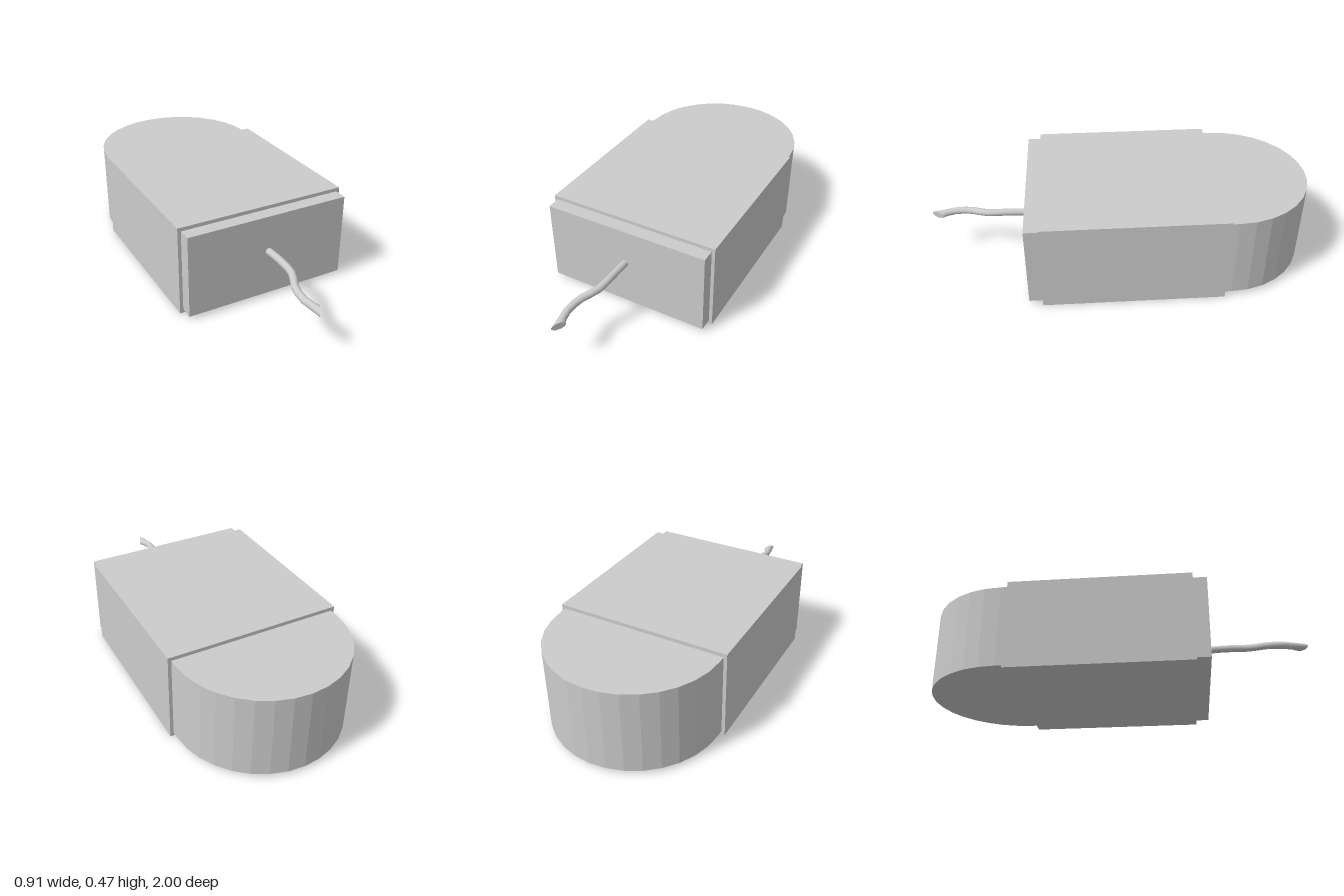
import * as THREE from 'three';

const material = new THREE.MeshStandardMaterial({ color: 0xcccccc });

function addMesh(group, name, geometry) {
  const mesh = new THREE.Mesh(geometry, material);
  mesh.name = name;
  group.add(mesh);
  return mesh;
}

export function createModel() {
  const group = new THREE.Group();
  group.name = 'roundedCasing';

  // Inner body: flat at the front, half-round at the back
  const r = 0.4375;
  const outline = new THREE.Shape();
  outline.moveTo(-r, -0.48);
  outline.lineTo(r, -0.48);
  outline.lineTo(r, 1 - r);
  outline.absarc(0, 1 - r, r, 0, Math.PI, false);
  outline.closePath();
  const bodyGeometry = new THREE.ExtrudeGeometry(outline, {
    depth: 0.437, bevelEnabled: false, curveSegments: 8,
  });
  bodyGeometry.rotateX(-Math.PI / 2).translate(0, 0.019, 0);
  addMesh(group, 'body', bodyGeometry);

  // Sleeve wrapped around the straight part of the body
  const sleeve = addMesh(group, 'sleeve', new THREE.BoxGeometry(0.91, 0.475, 0.934));
  sleeve.position.set(0, 0.2375, -0.057);

  // Kinked cable leaving the front face
  const path = new THREE.CatmullRomCurve3([
    [0, 0.26, 0.46], [0, 0.265, 0.58], [-0.008, 0.26, 0.7],
    [-0.05, 0.25, 0.79], [-0.062, 0.243, 0.875], [-0.042, 0.235, 0.972],
  ].map((p) => new THREE.Vector3(...p)));
  const rings = 11, sides = 16, cableRadius = 0.019;
  const cable = new THREE.TubeGeometry(path, rings, cableRadius, sides);

  // Slanted cut: shear the last ring and its end cap along z
  const end = path.getPoint(1);
  const shear = (geometry, from) => {
    const p = geometry.attributes.position;
    for (let i = from; i < p.count; i++) {
      p.setZ(i, end.z - 1.6 * (p.getX(i) - end.x));
    }
  };
  shear(cable, rings * (sides + 1));
  addMesh(group, 'cable', cable);

  const cap = new THREE.CircleGeometry(cableRadius, sides).translate(end.x, end.y, end.z);
  shear(cap, 0);
  cap.computeVertexNormals();
  addMesh(group, 'cableEnd', cap);

  return group;
}
